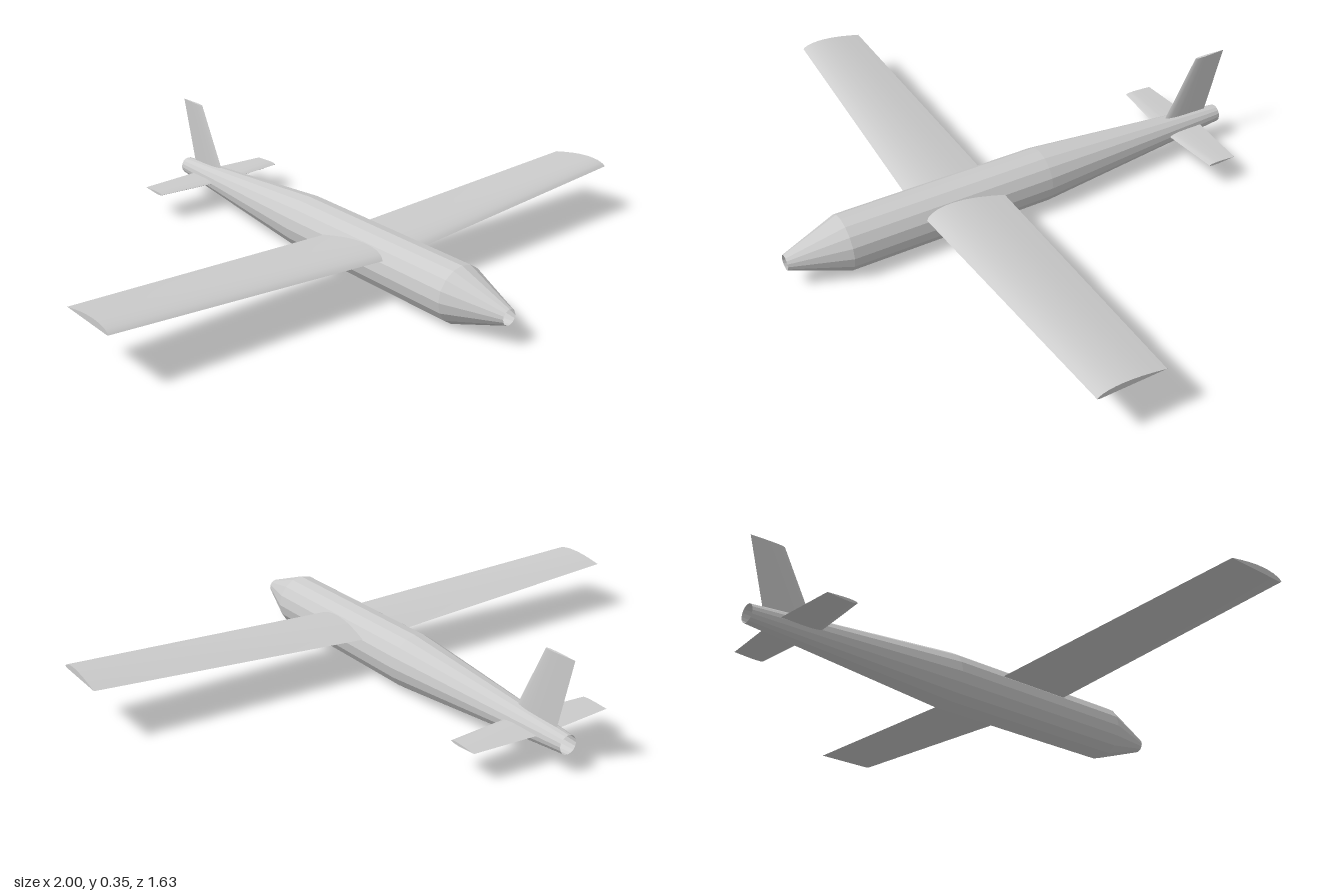
import * as THREE from 'three';
import { toCreasedNormals } from 'three/addons/utils/BufferGeometryUtils.js';

const AXIS_Y = 0.093; // height of the fuselage centre line

// Closed sections as [chord fraction from leading edge, thickness fraction]
const flatBottomFoil = [
  [0, 0.15], [0.03, 0.42], [0.08, 0.66], [0.16, 0.87], [0.26, 0.98], [0.36, 1],
  [0.5, 0.92], [0.65, 0.72], [0.82, 0.4], [1, 0], [0.5, 0], [0.04, 0],
];
const upperHalf = [[0.04, 0.25], [0.12, 0.42], [0.3, 0.5], [0.6, 0.33]];
const symmetricFoil = [
  [0, 0], ...upperHalf, [1, 0],
  ...upperHalf.map(([c, t]) => [c, -t]).reverse(),
];

// Skin a foil through stations { span, lead, trail, thick, lift }, with capped ends
function loftFoil(foil, stations, place) {
  const n = foil.length;
  const positions = stations.flatMap((s) => foil.flatMap(([c, t]) =>
    place(s.span, s.lift + t * s.thick, s.lead + c * (s.trail - s.lead))));
  const index = [];
  for (let i = 0; i < stations.length - 1; i++) {
    for (let j = 0; j < n; j++) {
      const k = (j + 1) % n;
      const a = i * n + j, b = a + n, c = (i + 1) * n + k, d = i * n + k;
      index.push(a, b, c, a, c, d);
    }
  }
  const end = (stations.length - 1) * n;
  for (let j = 1; j < n - 1; j++) {
    index.push(0, j, j + 1, end, end + j + 1, end + j);
  }
  const geometry = new THREE.BufferGeometry();
  geometry.setAttribute('position', new THREE.Float32BufferAttribute(positions, 3));
  geometry.setIndex(index);
  return toCreasedNormals(geometry, 0.6);
}

export function createModel() {
  const model = new THREE.Group();
  const smooth = new THREE.MeshStandardMaterial({ color: 0xcccccc });
  const faceted = new THREE.MeshStandardMaterial({
    color: 0xcccccc, flatShading: true, side: THREE.DoubleSide,
  });
  const add = (name, geometry, material) => {
    const mesh = new THREE.Mesh(geometry, material);
    mesh.name = name;
    model.add(mesh);
  };
  const sideways = (span, up, z) => [span, up, z];
  const upright = (span, out, z) => [-out, span, z];

  // Fuselage: hollow tube, open at nose and tail
  const profile = [[0.03, -0.805], [0.092, -0.08], [0.092, 0.625], [0.025, 0.815]]
    .map(([r, z]) => new THREE.Vector2(r, z));
  const body = new THREE.LatheGeometry(profile, 16);
  body.rotateX(Math.PI / 2);
  body.translate(0, AXIS_Y, 0);
  add('fuselage', body, faceted);

  // Main wing: tapered, flat underside, slight dihedral
  const wingTip = { lead: 0.343, trail: 0.122, thick: 0.021, lift: 0.176 };
  const wingRoot = { span: 0, lead: 0.376, trail: 0.095, thick: 0.027, lift: 0.126 };
  add('wing', loftFoil(flatBottomFoil, [
    { span: -1, ...wingTip }, wingRoot, { span: 1, ...wingTip },
  ], sideways), smooth);

  // Tailplane
  const planeTip = { lead: -0.597, trail: -0.7, thick: 0.009, lift: AXIS_Y + 0.002 };
  const planeRoot = { span: 0, lead: -0.575, trail: -0.718, thick: 0.012, lift: AXIS_Y + 0.002 };
  add('tailplane', loftFoil(symmetricFoil, [
    { span: -0.25, ...planeTip }, planeRoot, { span: 0.25, ...planeTip },
  ], sideways), smooth);

  // Swept tail fin
  add('tailFin', loftFoil(symmetricFoil, [
    { span: AXIS_Y, lead: -0.565, trail: -0.748, thick: 0.014, lift: 0 },
    { span: 0.35, lead: -0.697, trail: -0.815, thick: 0.009, lift: 0 },
  ], upright), smooth);

  return model;
}
